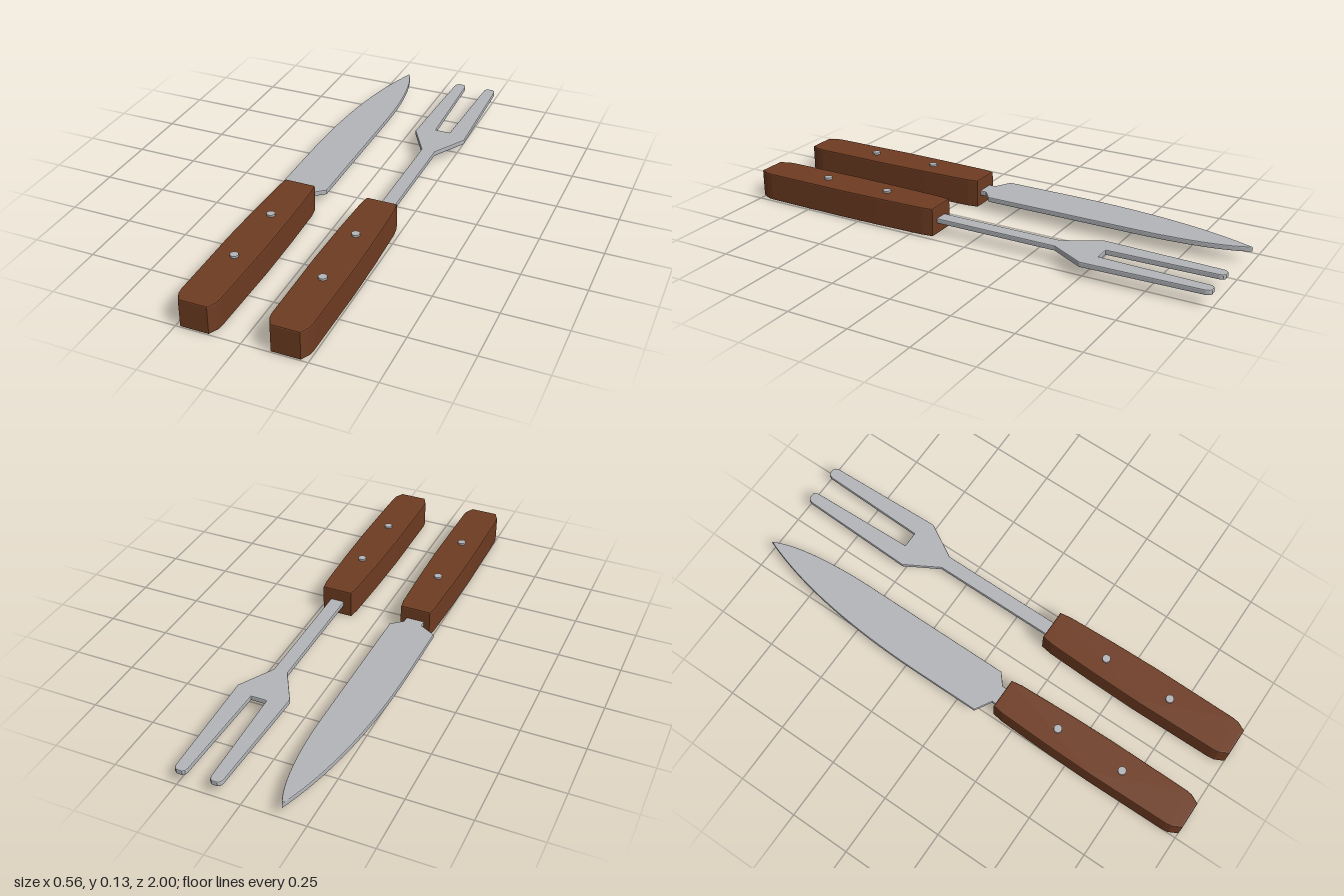
import * as THREE from 'three';

const steel = new THREE.MeshStandardMaterial({ color: 0xb4b6ba });
steel.name = 'steel';
const wood = new THREE.MeshStandardMaterial({ color: 0x6f3c22 });
wood.name = 'brown wood';

// Outline drawn in the x/z plane, extruded upwards from y0 to y1 with a small bevel
function slab(name, shape, y0, y1, bevel, material) {
  const geo = new THREE.ExtrudeGeometry(shape, {
    depth: y1 - y0 - 2 * bevel, curveSegments: 16,
    bevelSize: bevel, bevelThickness: bevel, bevelOffset: -bevel, bevelSegments: 2,
  });
  geo.rotateX(-Math.PI / 2).translate(0, y0 + bevel, 0);
  const mesh = new THREE.Mesh(geo, material);
  mesh.name = name;
  return mesh;
}

// Closed symmetric outline from one side given as [half width, z]
function mirrored(side) {
  const right = side.map(([x, z]) => new THREE.Vector2(x, -z));
  const left = side.map(([x, z]) => new THREE.Vector2(-x, -z)).reverse();
  return new THREE.Shape([...right, ...left]);
}

// Tapered handle with clipped end corners and two rivets
function makeHandle(name) {
  const g = new THREE.Group();
  g.name = name;
  g.add(slab('grip', mirrored([
    [0.055, 1], [0.073, 0.965], [0.0765, 0.94], [0.0795, 0.6], [0.076, 0.4],
    [0.069, 0.2], [0.062, 0.155],
  ]), 0.002, 0.118, 0.005, wood));
  for (const z of [0.41, 0.7]) {
    const rivet = new THREE.Mesh(new THREE.CylinderGeometry(0.016, 0.016, 0.126, 20), steel);
    rivet.position.set(0, 0.063, z);
    rivet.name = 'rivet';
    g.add(rivet);
  }
  return g;
}

export function createModel() {
  const model = new THREE.Group();
  model.name = 'carvingSet';

  // Knife: straight spine, long curved edge, stepped shoulder and tang
  const knife = new THREE.Group();
  knife.name = 'knife';
  knife.position.x = -0.1755;
  const blade = new THREE.Shape();
  blade.moveTo(-0.038, -0.2);
  blade.lineTo(0.038, -0.2);
  blade.lineTo(0.038, -0.13);
  blade.lineTo(0.084, -0.092);
  blade.lineTo(0.084, 0.55);
  blade.bezierCurveTo(0.084, 0.75, 0.06, 0.92, 0.016, 1);
  blade.bezierCurveTo(-0.062, 0.8, -0.104, 0.52, -0.104, 0.18);
  blade.lineTo(-0.104, -0.092);
  blade.lineTo(-0.038, -0.13);
  knife.add(makeHandle('knifeHandle'), slab('blade', blade, 0.046, 0.067, 0.004, steel));

  // Fork: slim neck widening to two rounded tines
  const fork = new THREE.Group();
  fork.name = 'fork';
  fork.position.x = 0.168;
  const prongs = mirrored([
    [0.029, 0.2], [0.029, -0.36], [0.109, -0.5], [0.094, -0.975], [0.089, -0.988],
    [0.08, -0.995], [0.058, -0.995], [0.049, -0.988], [0.045, -0.975], [0.032, -0.54],
  ]);
  fork.add(makeHandle('forkHandle'), slab('prongs', prongs, 0.046, 0.067, 0.004, steel));

  model.add(knife, fork);
  return model;
}
